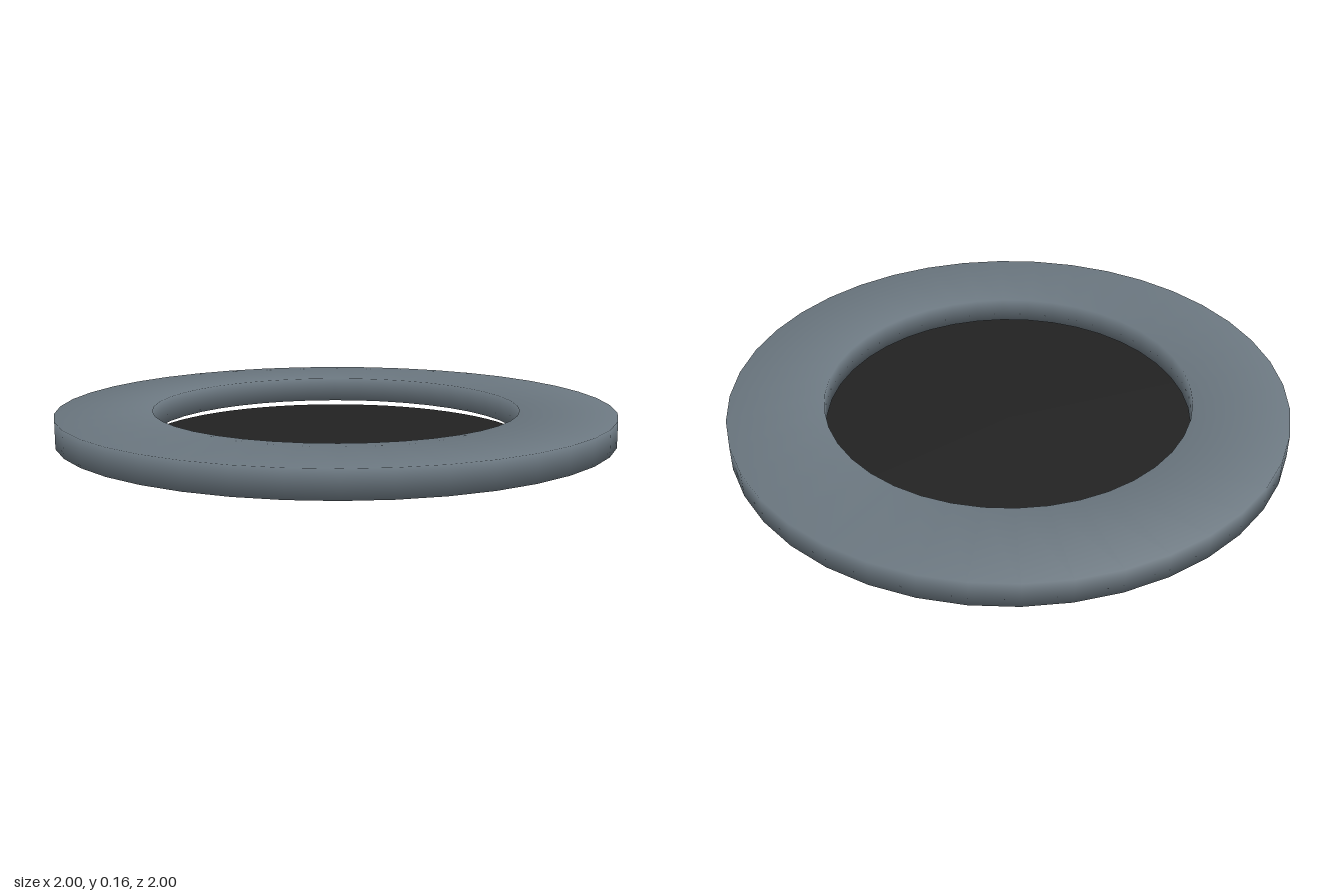
import * as THREE from 'three';

const slate = new THREE.MeshStandardMaterial({ name: 'slate grey', color: 0x6b7780 });
const black = new THREE.MeshStandardMaterial({ name: 'soft black', color: 0x222222 });

// Flat ring with a rectangular section and softly shaded corners
function ringGeometry(inner, outer, bottom, top, segments) {
  const corners = [[inner, bottom], [outer, bottom], [outer, top], [inner, top], [inner, bottom]];
  const geometry = new THREE.LatheGeometry(corners.map(([r, y]) => new THREE.Vector2(r, y)), segments);
  const { position, normal } = geometry.attributes;
  const midRadius = (inner + outer) / 2;
  const midHeight = (bottom + top) / 2;
  const n = new THREE.Vector3();
  for (let i = 0; i < position.count; i++) {
    const x = position.getX(i), z = position.getZ(i);
    const r = Math.hypot(x, z);
    const side = Math.sign(r - midRadius) / (outer - inner);
    const up = Math.sign(position.getY(i) - midHeight) / (top - bottom);
    n.set((x / r) * side, up, (z / r) * side).normalize();
    normal.setXYZ(i, n.x, n.y, n.z);
  }
  return geometry;
}

export function createModel() {
  const model = new THREE.Group();
  model.name = 'ringOverDisc';

  // Floating outer ring
  const ring = new THREE.Mesh(ringGeometry(0.66, 1, 0.07, 0.163, 40), slate);
  ring.name = 'outerRing';
  model.add(ring);

  // Dark base disc below the opening
  const height = 0.044;
  const disc = new THREE.Mesh(new THREE.CylinderGeometry(0.707, 0.707, height, 64), black);
  disc.name = 'baseDisc';
  disc.position.y = height / 2;
  model.add(disc);

  return model;
}
